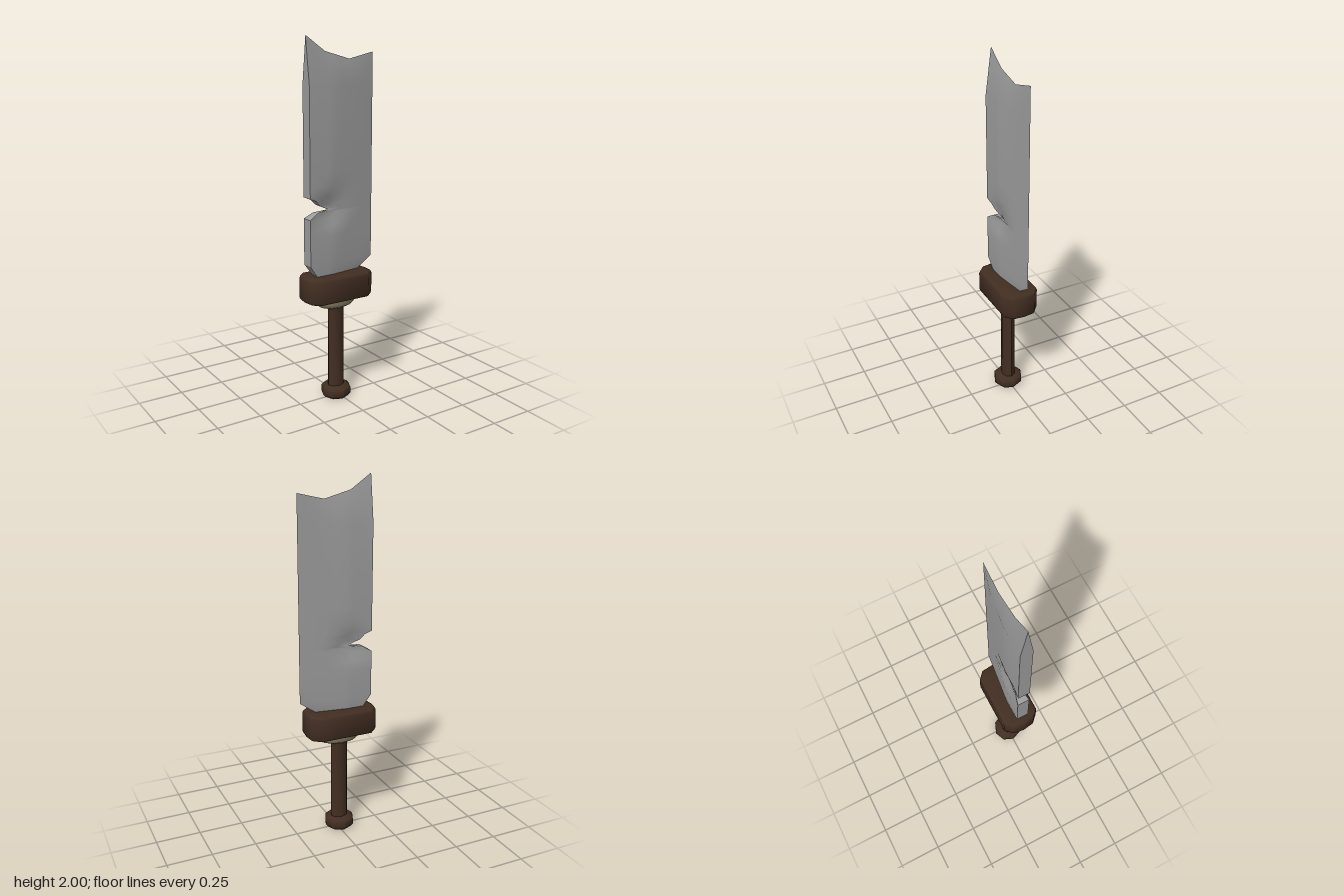
import * as THREE from 'three';
import { mergeGeometries, toCreasedNormals } from 'three/addons/utils/BufferGeometryUtils.js';

const mat = (name, color) => {
  const m = new THREE.MeshStandardMaterial({ color });
  m.name = name;
  return m;
};

// Blade rows: height, spine x, cutting edge x, thickness factor (the notch sits around y = 1.09)
const ROWS = [
  [0.70, -0.13, 0.09, 0.75], [0.73, -0.15, 0.13, 0.8], [0.795, -0.195, 0.22, 1],
  [0.95, -0.195, 0.22, 1], [1.0, -0.195, 0.22, 1], [1.05, -0.195, 0.22, 1],
  [1.08, -0.145, 0.22, 1], [1.09, -0.065, 0.22, 1], [1.12, -0.13, 0.22, 1],
  [1.148, -0.155, 0.22, 1], [1.165, -0.195, 0.22, 1], [1.22, -0.195, 0.22, 1],
  [1.3, -0.195, 0.22, 1], [1.75, -0.195, 0.22, 1], [null, -0.195, 0.22, 0],
];
const COLS = [0, 0.14, 0.277, 0.36, 0.5, 0.639, 0.8, 1];
const TOP = [[-0.195, 2.0], [-0.08, 1.92], [0.07, 1.88], [0.22, 1.915]];

// Height of the broken tip at x
function topY(x) {
  let i = 0;
  while (i < 2 && x > TOP[i + 1][0]) i++;
  const [a, b] = [TOP[i], TOP[i + 1]];
  return a[1] + (b[1] - a[1]) * (x - a[0]) / (b[0] - a[0]);
}

function bladePoint([y, xl, xr, f], u) {
  const x = xl + (xr - xl) * u;
  const py = y ?? topY(x);
  const taper = Math.min(1, (xr - x) / (xr + 0.05));
  const notch = Math.min(1, Math.hypot(x + 0.065, py - 1.09) / 0.13);
  return [x, py, 0.034 * f * taper * notch];
}

// Indexed surface from a grid of points; flip reverses the facing
function sheet(grid, flip) {
  const n = grid[0].length, index = [];
  for (let r = 0; r < grid.length - 1; r++) {
    for (let c = 0; c < n - 1; c++) {
      const a = r * n + c, b = a + 1, d = a + n, e = d + 1;
      index.push(...(flip ? [a, e, b, a, d, e] : [a, b, e, a, e, d]));
    }
  }
  const g = new THREE.BufferGeometry();
  g.setAttribute('position', new THREE.Float32BufferAttribute(grid.flat(2), 3));
  g.setIndex(index);
  g.computeVertexNormals();
  return g;
}

function bladeGeometry() {
  const front = ROWS.map(r => COLS.map(u => bladePoint(r, u)));
  const back = front.map(r => r.map(([x, y, z]) => [x, y, -z]));
  const spine = front.map((r, i) => [back[i][0], r[0]]);
  return mergeGeometries([
    sheet(front, false), sheet(back, true),
    toCreasedNormals(sheet(spine, false), 0.4),
  ].map(g => (g.index ? g.toNonIndexed() : g)));
}

// Elongated octagonal block with bevelled edges
function guardGeometry() {
  const half = [[-0.22, 0], [-0.21, 0.065], [-0.17, 0.104], [0.135, 0.104], [0.18, 0.065], [0.187, 0]];
  const mirrored = half.slice(1, -1).reverse().map(([x, z]) => [x, -z]);
  const shape = new THREE.Shape([...half, ...mirrored].map(p => new THREE.Vector2(...p)));
  const bevel = 0.018;
  const g = new THREE.ExtrudeGeometry(shape, {
    depth: 0.145 - 2 * bevel, bevelEnabled: true, bevelThickness: bevel,
    bevelSize: bevel, bevelOffset: -bevel, bevelSegments: 2,
  });
  g.rotateX(-Math.PI / 2).translate(0, 0.586 + bevel, 0);
  return toCreasedNormals(g, 0.9);
}

// Turned part around the grip axis, optionally flattened in z
function turned(profile, sides, zScale = 1) {
  const g = new THREE.LatheGeometry(profile.map(p => new THREE.Vector2(...p)), sides);
  g.scale(1, 1, zScale).translate(-0.015, 0, 0);
  return toCreasedNormals(g, 0.95);
}

export function createModel() {
  const steel = mat('steel', 0x9c9c9c);
  const wood = mat('dark wood', 0x422e22);
  const bone = mat('pale collar', 0x8f8567);
  steel.side = THREE.DoubleSide;

  const group = new THREE.Group();
  group.name = 'brokenCleaver';
  const add = (name, geometry, material) => {
    const mesh = new THREE.Mesh(geometry, material);
    mesh.name = name;
    group.add(mesh);
  };

  add('blade', bladeGeometry(), steel);
  add('guard', guardGeometry(), wood);
  add('collar', turned([[0, 0.53], [0.07, 0.533], [0.105, 0.545], [0.12, 0.562], [0.122, 0.6], [0, 0.6]], 10, 0.54), bone);
  add('grip', turned([[0.05, 0.05], [0.05, 0.55]], 8, 0.74), wood);
  add('pommel', turned([[0, 0], [0.07, 0], [0.085, 0.018], [0.085, 0.052], [0.07, 0.068], [0, 0.068]], 8), wood);
  return group;
}
